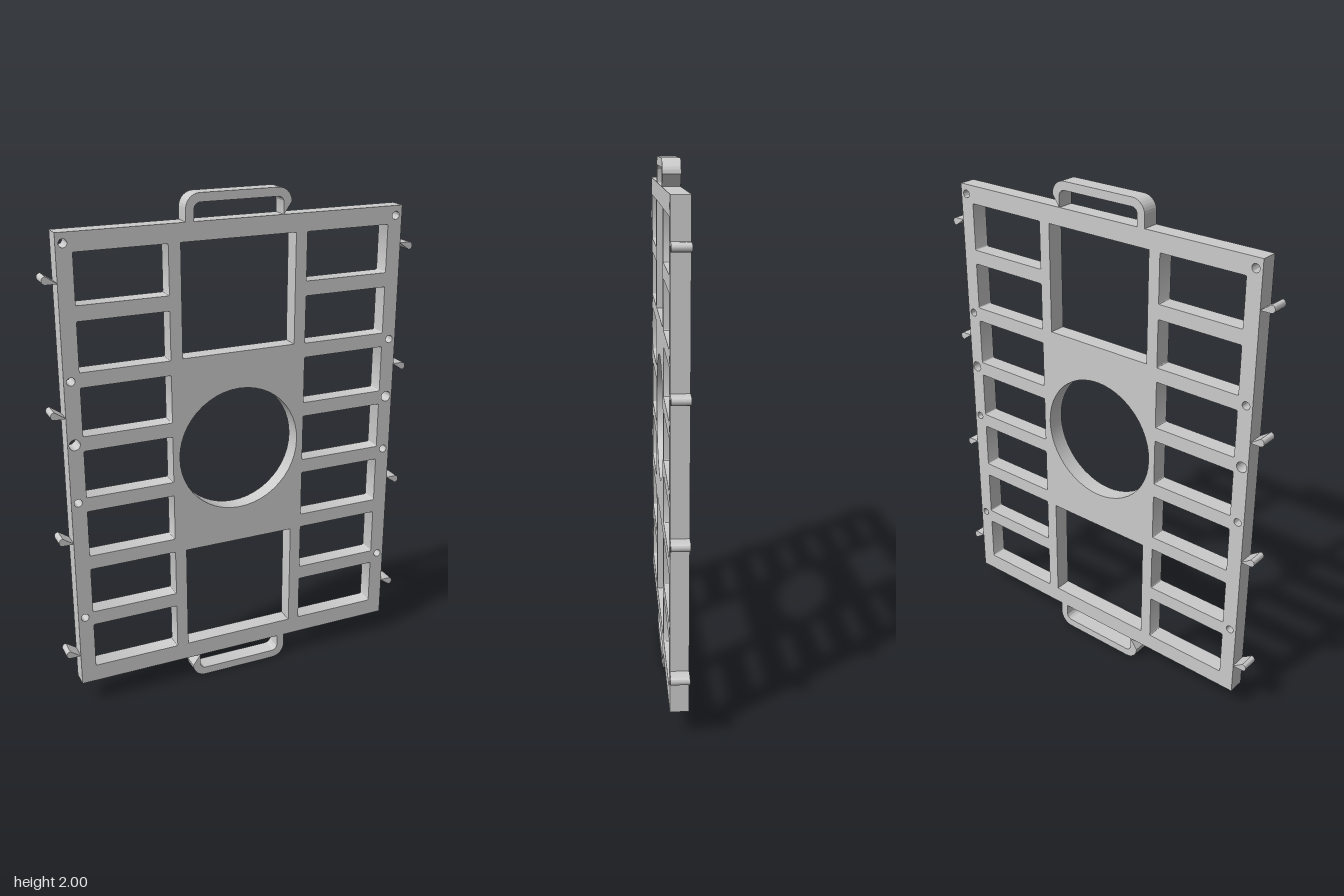
import * as THREE from 'three';
import { toCreasedNormals } from 'three/addons/utils/BufferGeometryUtils.js';

const DEPTH = 0.068;
const material = new THREE.MeshStandardMaterial({ color: 0xcccccc });

// Extrudes a front outline to the plate depth, centred on z = 0
function plate(name, shape) {
  const geo = new THREE.ExtrudeGeometry(shape, { depth: DEPTH, bevelEnabled: false, curveSegments: 24 });
  geo.translate(0, 0, -DEPTH / 2);
  const mesh = new THREE.Mesh(toCreasedNormals(geo, 0.5), material);
  mesh.name = name;
  return mesh;
}

// Rectangle with rounded corners, drawn into any path
function roundRect(path, x0, y0, x1, y1, r) {
  path.moveTo(x0 + r, y0);
  path.absarc(x1 - r, y0 + r, r, -Math.PI / 2, 0);
  path.absarc(x1 - r, y1 - r, r, 0, Math.PI / 2);
  path.absarc(x0 + r, y1 - r, r, Math.PI / 2, Math.PI);
  path.absarc(x0 + r, y0 + r, r, Math.PI, Math.PI * 1.5);
  path.closePath();
  return path;
}

function rect(path, x0, y0, x1, y1) {
  path.moveTo(x0, y0);
  path.lineTo(x1, y0);
  path.lineTo(x1, y1);
  path.lineTo(x0, y1);
  path.closePath();
  return path;
}

function circle(x, y, r) {
  return new THREE.Path().absarc(x, y, r, 0, Math.PI * 2);
}

function createFrame() {
  const shape = rect(new THREE.Shape(), -0.687, 0.1, 0.687, 1.9);

  // central round opening and the two tall windows
  shape.holes.push(circle(0, 1, 0.251));
  shape.holes.push(rect(new THREE.Path(), -0.231, 0.17, 0.231, 0.602));
  shape.holes.push(rect(new THREE.Path(), -0.231, 1.398, 0.231, 1.83));

  for (const side of [-1, 1]) {
    // column of seven windows
    const cx = side * 0.4525;
    for (let i = 0; i < 7; i++) {
      const y = 0.17 + i * 0.2452;
      shape.holes.push(roundRect(new THREE.Path(), cx - 0.1745, y, cx + 0.1745, y + 0.188, 0.005));
    }
    // screw holes, with one larger locating hole
    for (const y of [0.397, 0.89, 1.367, 1.862]) shape.holes.push(circle(side * 0.66, y, 0.0155));
    shape.holes.push(circle(side * 0.66, 1.123, 0.021));
  }
  return plate('frame', shape);
}

// U-shaped loop standing on the frame edge, foot at y = 0
function createHandle(name) {
  const s = new THREE.Shape();
  s.moveTo(0.21, 0);
  s.absarc(0.155, 0.045, 0.055, 0, Math.PI / 2);
  s.absarc(-0.155, 0.045, 0.055, Math.PI / 2, Math.PI);
  s.lineTo(-0.21, 0);
  s.lineTo(-0.178, 0);
  s.absarc(-0.153, 0.042, 0.025, Math.PI, Math.PI / 2, true);
  s.absarc(0.153, 0.042, 0.025, Math.PI / 2, 0, true);
  s.lineTo(0.178, 0);
  s.closePath();
  return plate(name, s);
}

// Side tab with rounded outer end
function createLug(name) {
  const s = new THREE.Shape();
  s.moveTo(0, -0.015);
  s.absarc(0.043, 0, 0.015, -Math.PI / 2, Math.PI / 2);
  s.lineTo(0, 0.015);
  s.closePath();
  return plate(name, s);
}

export function createModel() {
  const model = new THREE.Group();
  model.name = 'frameplate';
  model.add(createFrame());

  const topHandle = createHandle('topHandle');
  topHandle.position.y = 1.9;
  const bottomHandle = createHandle('bottomHandle');
  bottomHandle.position.y = 0.1;
  bottomHandle.rotation.z = Math.PI;
  model.add(topHandle, bottomHandle);

  for (const y of [0.244, 0.739, 1.245, 1.739]) {
    const left = createLug('leftLug');
    left.position.set(0.685, y, 0);
    const right = createLug('rightLug');
    right.position.set(-0.685, y, 0);
    right.rotation.z = Math.PI;
    model.add(left, right);
  }
  return model;
}
